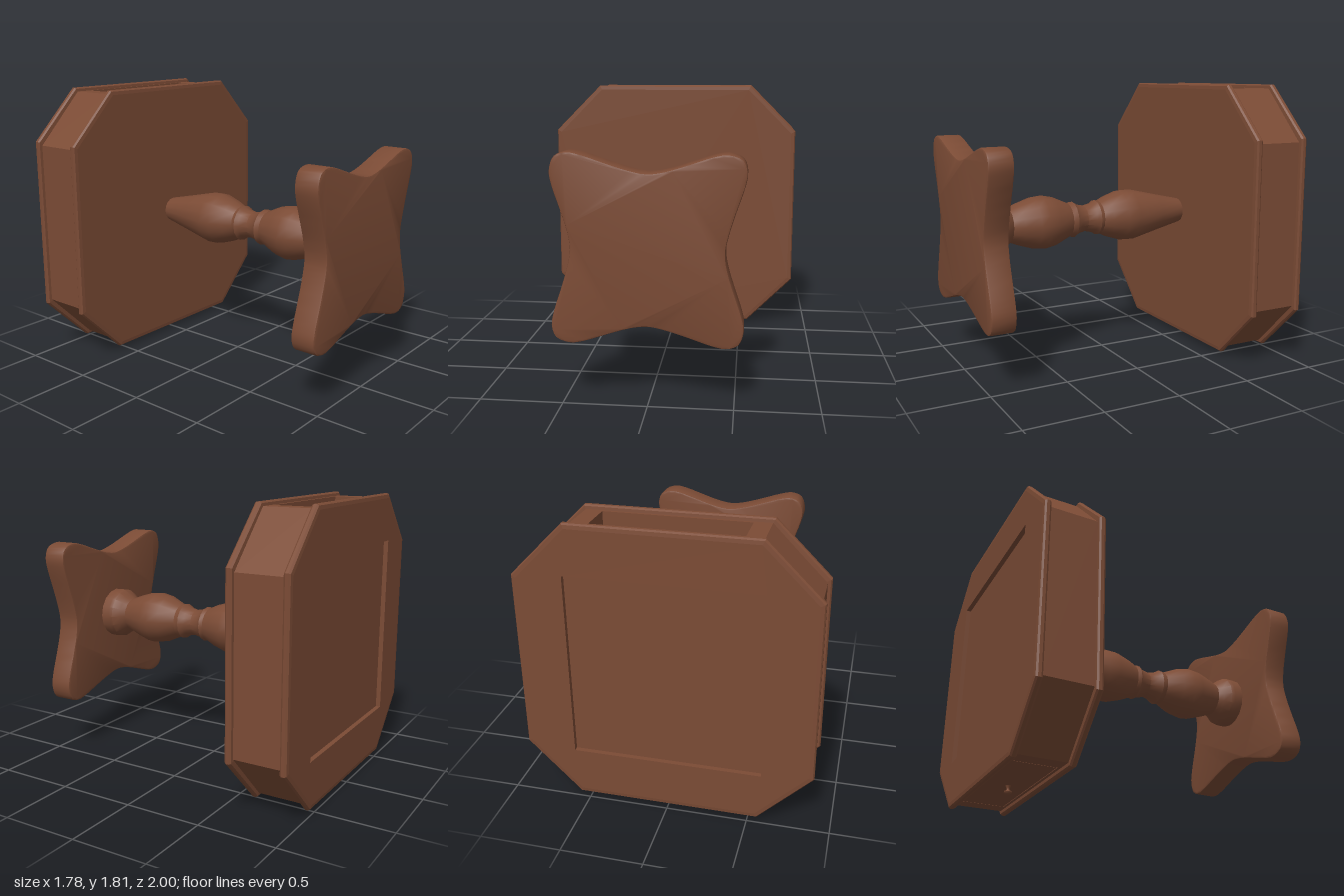
import * as THREE from 'three';
import { toCreasedNormals } from 'three/addons/utils/BufferGeometryUtils.js';

const CY = 0.92; // height of the column axis

export function createModel() {
  const group = new THREE.Group();
  const wood = new THREE.MeshStandardMaterial({ color: 0x7b4b35 });
  wood.name = 'brown wood';

  const add = (name, geometry, x = 0, y = CY, z = 0, parent = group) => {
    const mesh = new THREE.Mesh(geometry, wood);
    mesh.name = name;
    mesh.position.set(x, y, z);
    parent.add(mesh);
    return mesh;
  };
  const shapeOf = (pts) => new THREE.Shape(pts.map(([x, y]) => new THREE.Vector2(x, y)));

  // Chamfered square with half width h and half length c of its straight sides
  const octagon = (h, c) => [
    [h, -c], [h, c], [c, h], [-c, h], [-h, c], [-h, -c], [-c, -h], [c, -h],
  ];
  const square = (h) => [[h, -h], [h, h], [-h, h], [-h, -h]];

  // Walls joining matching loops; loops given towards -z face inwards
  const loft = (layers) => {
    const pos = [];
    for (let k = 0; k + 1 < layers.length; k++) {
      const [lo, z0] = layers[k];
      const [hi, z1] = layers[k + 1];
      lo.forEach((p, i) => {
        const j = (i + 1) % lo.length;
        const a = [...p, z0], b = [...lo[j], z0], c = [...hi[j], z1], d = [...hi[i], z1];
        pos.push(...a, ...b, ...c, ...a, ...c, ...d);
      });
    }
    const g = new THREE.BufferGeometry();
    g.setAttribute('position', new THREE.Float32BufferAttribute(pos, 3));
    g.computeVertexNormals();
    return g;
  };

  // Octagonal plates with a moulded rim
  const plate = (name, z0, z1, hole) => {
    const part = new THREE.Group();
    part.name = name;
    group.add(part);
    const inner = octagon(0.86, 0.545), mid = octagon(0.882, 0.556), outer = octagon(0.89, 0.56);
    add('rim', loft([
      [inner, z0], [mid, z0 + 0.003], [outer, z0 + 0.014],
      [outer, z1 - 0.014], [mid, z1 - 0.003], [inner, z1],
    ]), 0, CY, 0, part);
    add('frontFace', new THREE.ShapeGeometry(shapeOf(inner)), 0, CY, z1, part);
    const back = shapeOf(inner);
    if (hole) back.holes.push(shapeOf(square(hole)));
    add('backFace', new THREE.ShapeGeometry(back).rotateY(Math.PI), 0, CY, z0, part);
    if (hole) {
      // Shallow square recess
      const floor = z0 + 0.03;
      add('recessWalls', loft([[square(hole), floor], [square(hole), z0]].map((l) => l).reverse()
        .map(([s, z]) => [s.slice().reverse(), z])), 0, CY, 0, part);
      add('recessFloor', new THREE.PlaneGeometry(hole * 2, hole * 2).rotateY(Math.PI), 0, CY, floor, part);
    }
  };
  plate('tableTop', -1, -0.953, 0.58);
  plate('lowerPlate', -0.653, -0.605, 0);

  // Case sides, leaving a slot open from top to bottom
  for (const s of [1, -1]) {
    const side = shapeOf([
      [0.44, -0.865], [0.545, -0.865], [0.865, -0.535],
      [0.865, 0.535], [0.545, 0.865], [0.44, 0.865],
    ].map(([x, y]) => [s * x, y]));
    add(s > 0 ? 'leftCaseSide' : 'rightCaseSide',
      new THREE.ExtrudeGeometry(side, { depth: 0.3, bevelEnabled: false }), 0, CY, -0.953);
  }
  add('caseInnerPanel', new THREE.BoxGeometry(0.88, 1.73, 0.018), 0, CY, -0.662);
  add('caseOuterPanel', new THREE.BoxGeometry(0.88, 1.73, 0.008), 0, CY, -0.949);

  // Drawer front with a small turned knob
  add('drawerFront', new THREE.BoxGeometry(0.872, 0.03, 0.266), 0, 0.07, -0.808);
  const knob = [[0, 0], [0.014, 0.003], [0.025, 0.013], [0.022, 0.02], [0.01, 0.026], [0.01, 0.04], [0.018, 0.056]]
    .map(([r, y]) => new THREE.Vector2(r, y));
  add('drawerKnob', new THREE.LatheGeometry(knob, 12), 0, 0, -0.8);

  // Turned column
  const profile = [
    [0.082, -0.61], [0.125, -0.42], [0.174, -0.21], [0.172, -0.13], [0.14, -0.03],
    [0.112, 0.03], [0.118, 0.055], [0.1, 0.08], [0.087, 0.14], [0.098, 0.19],
    [0.12, 0.225], [0.113, 0.26], [0.162, 0.37], [0.178, 0.45], [0.172, 0.51],
    [0.14, 0.61], [0.113, 0.68], [0.135, 0.71], [0.168, 0.755], [0.172, 0.78], [0.17, 0.85],
  ].map(([r, z]) => new THREE.Vector2(r, z));
  add('column', toCreasedNormals(new THREE.LatheGeometry(profile, 16).rotateX(Math.PI / 2), 0.55));

  // Four-pointed base with rounded tips, one quarter turned four times
  const quarter = [
    [0.44, 0], [0.458, 0.1], [0.497, 0.23], [0.543, 0.37], [0.557, 0.45], [0.532, 0.52],
    [0.45, 0.55], [0.37, 0.538], [0.23, 0.492], [0.1, 0.453],
  ];
  const outline = [];
  for (let q = 0; q < 4; q++) {
    for (const [x, y] of quarter) {
      outline.push(new THREE.Vector3(x, y, 0).applyAxisAngle(new THREE.Vector3(0, 0, 1), q * Math.PI / 2));
    }
  }
  const curve = new THREE.CatmullRomCurve3(outline, true).getPoints(120).slice(0, -1);
  const base = new THREE.ExtrudeGeometry(shapeOf(curve.map((p) => [p.x, p.y])), {
    depth: 0.136, bevelThickness: 0.012, bevelSize: 0.012, bevelOffset: -0.012, bevelSegments: 2,
  });
  add('starBase', toCreasedNormals(base, 0.6), 0, CY, 0.852);

  return group;
}
